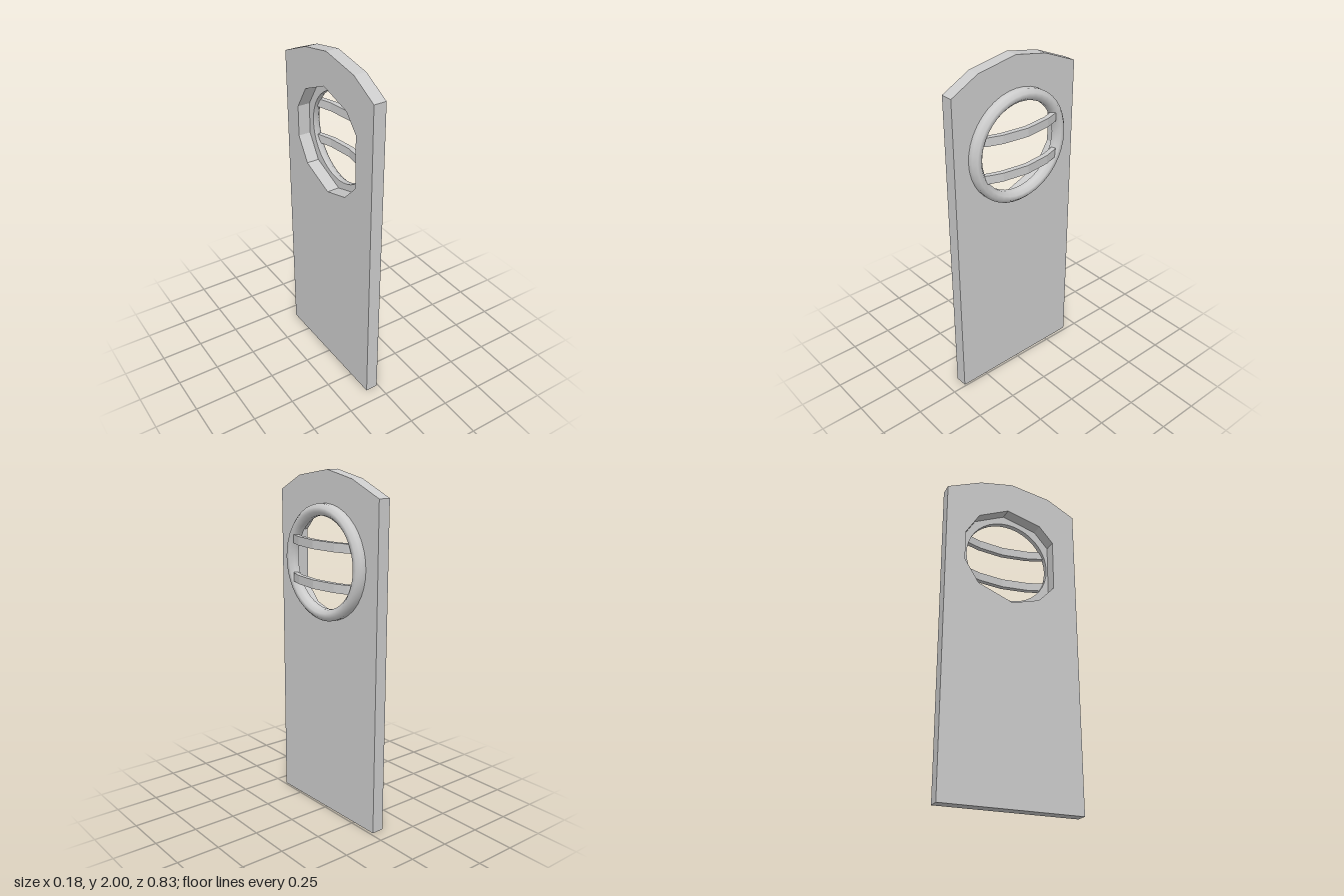
import * as THREE from 'three';

const WINDOW_Y = 1.495;
const grey = new THREE.MeshStandardMaterial({ color: 0xcccccc });
const flatGrey = new THREE.MeshStandardMaterial({ color: 0xcccccc, flatShading: true });

const toPoints = (list) => list.map(([a, b]) => new THREE.Vector2(a, b));

function addMesh(parent, name, geometry, material) {
  const mesh = new THREE.Mesh(geometry, material);
  mesh.name = name;
  parent.add(mesh);
  return mesh;
}

// Door slab with a faceted arched top and a rough polygonal window opening
function slabGeometry() {
  const shape = new THREE.Shape(toPoints([
    [-0.415, 0], [0.415, 0], [0.415, 1.872], [0.205, 1.96],
    [0, 2], [-0.245, 1.96], [-0.415, 1.872],
  ]));
  const angles = [30, 54, 95, 133, 163, 197, 227, 270, 303, 330];
  shape.holes.push(new THREE.Path(angles.map((deg) => {
    const a = THREE.MathUtils.degToRad(deg);
    return new THREE.Vector2(-0.31 * Math.cos(a), WINDOW_Y + 0.31 * Math.sin(a));
  })));
  return new THREE.ExtrudeGeometry(shape, { depth: 0.073, bevelEnabled: false })
    .rotateY(Math.PI / 2)
    .translate(-0.086, 0, 0);
}

// Profile (radius, height) turned around the x axis
function turned(profile) {
  return new THREE.LatheGeometry(toPoints(profile), 40)
    .rotateZ(-Math.PI / 2)
    .translate(0, WINDOW_Y, 0);
}

// Bowed window bar: faceted arc in plan, extruded upwards
function barGeometry(y) {
  const outer = [[0.03, 0.252], [0.04, 0.235], [0.067, 0.155], [0.087, 0]];
  const inner = [[0.057, 0], [0.037, 0.155], [0.005, 0.25]];
  const half = [...outer, ...inner];
  const mirror = ([x, z]) => [x, -z];
  const outline = [
    ...outer,
    ...outer.slice(0, -1).reverse().map(mirror),
    ...inner.slice(1).reverse().map(mirror),
    ...inner,
  ];
  return new THREE.ExtrudeGeometry(new THREE.Shape(toPoints(outline)), { depth: 0.05, bevelEnabled: false })
    .rotateX(-Math.PI / 2)
    .translate(0, y, 0);
}

export function createModel() {
  const model = new THREE.Group();
  model.name = 'door';

  // Everything hangs very slightly ajar
  const leaf = new THREE.Group();
  leaf.name = 'doorLeaf';
  leaf.rotation.y = 0.0085;
  model.add(leaf);

  addMesh(leaf, 'slab', slabGeometry(), flatGrey);

  // Round window frame: rounded front and flat back
  const frame = new THREE.Group();
  frame.name = 'windowFrame';
  leaf.add(frame);
  addMesh(frame, 'frameRim', turned([
    [0.325, -0.011], [0.325, 0.02], [0.305, 0.041],
    [0.28, 0.041], [0.26, 0.02], [0.26, -0.011],
  ]), grey);
  addMesh(frame, 'frameBack', turned([[0.26, -0.011], [0.325, -0.011]]), grey);

  // Two horizontal bars across the window
  [['lowerBar', 1.36], ['upperBar', 1.58]].forEach(([name, y]) => {
    addMesh(leaf, name, barGeometry(y), flatGrey);
  });

  return model;
}
